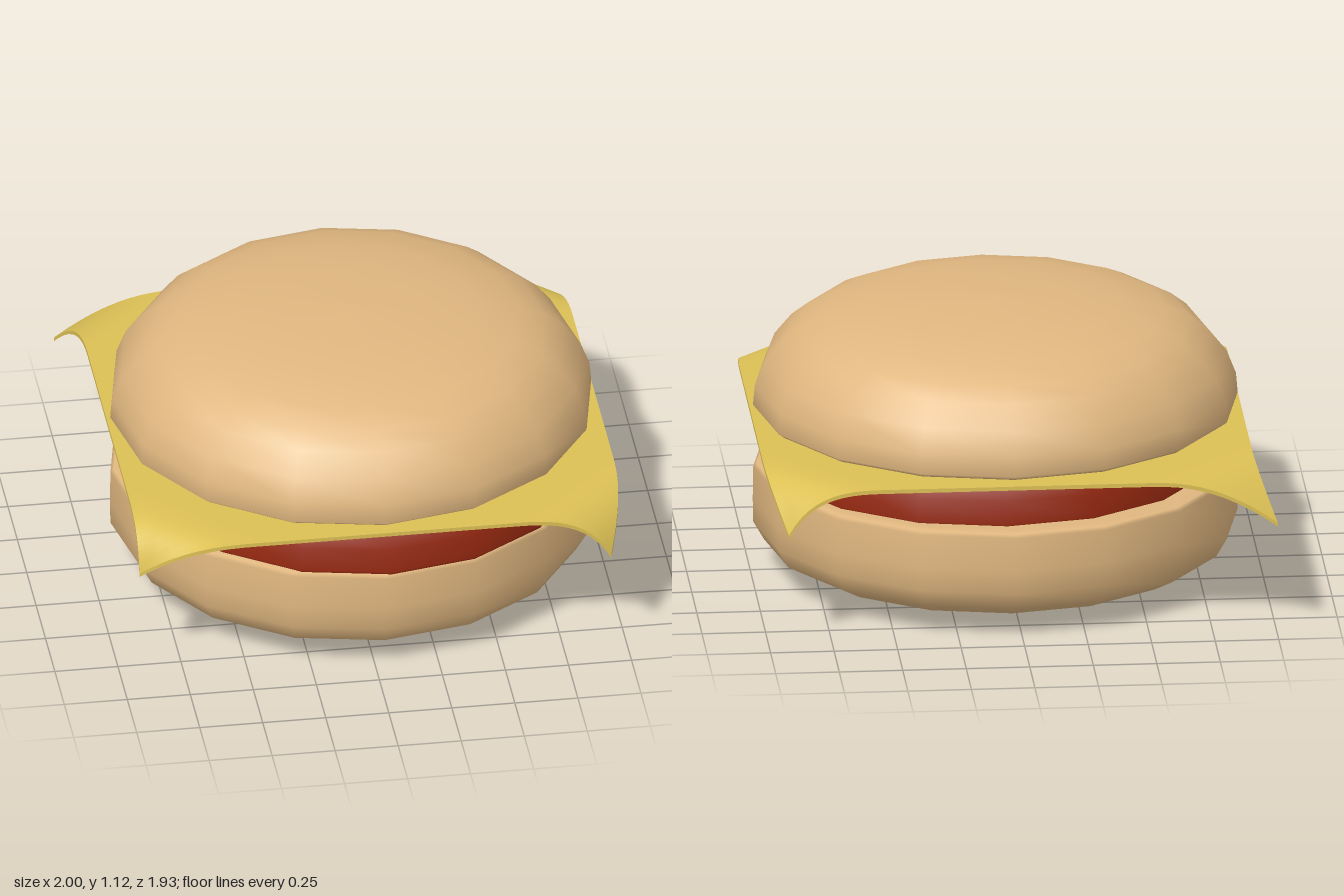
import * as THREE from 'three';

const SIDES = 16;

// Revolves a [radius, height] profile, listed from bottom to top
function turned(name, profile, material, x, z) {
  const points = profile.map(([r, y]) => new THREE.Vector2(r, y));
  const mesh = new THREE.Mesh(new THREE.LatheGeometry(points, SIDES), material);
  mesh.name = name;
  mesh.position.set(x, 0, z);
  return mesh;
}

// Thin square slice whose four corners droop over the patty
function cheeseGeometry() {
  const halfX = 0.962, halfZ = 0.965, centreX = 0.035, reach = 0.45;
  const geometry = new THREE.BoxGeometry(2 * halfX, 0.016, 2 * halfZ, 48, 1, 48);
  const pos = geometry.attributes.position;
  for (let i = 0; i < pos.count; i++) {
    const x = pos.getX(i), z = pos.getZ(i);
    const fromCorner = (halfX - Math.abs(x)) + (halfZ - Math.abs(z));
    const bend = Math.pow(Math.max(0, 1 - fromCorner / reach), 2.7);
    // The front right corner curls back, the others swing sideways
    const frontRight = x < 0 && z > 0;
    pos.setXYZ(
      i,
      x + centreX - (frontRight ? 0 : 0.072 * bend),
      pos.getY(i) + 0.648 - 0.178 * bend,
      z - (frontRight ? 0.13 * bend : 0)
    );
  }
  geometry.computeVertexNormals();
  return geometry;
}

export function createModel() {
  const bread = new THREE.MeshStandardMaterial({ color: 0xdfb67f });
  bread.name = 'bread';
  const meat = new THREE.MeshStandardMaterial({ color: 0x942810 });
  meat.name = 'meat';
  const cheese = new THREE.MeshStandardMaterial({ color: 0xdcc055 });
  cheese.name = 'cheese';

  const group = new THREE.Group();
  group.name = 'burger';

  // Bottom bun: shallow rounded base, upright wall, soft upper rim
  group.add(turned('bottomBun', [
    [0, 0.005], [0.37, 0.016], [0.64, 0.038], [0.82, 0.08], [0.91, 0.13],
    [0.953, 0.205], [0.955, 0.3], [0.953, 0.435], [0.94, 0.448], [0.9, 0.453], [0, 0.455],
  ], bread, 0.035, 0));

  // Patty, set slightly off centre
  group.add(turned('patty', [
    [0, 0.44], [0.89, 0.44], [0.9, 0.46], [0.885, 0.55], [0.86, 0.62], [0.84, 0.64], [0, 0.641],
  ], meat, 0.055, 0.044));

  // Cheese slice
  const slice = new THREE.Mesh(cheeseGeometry(), cheese);
  slice.name = 'cheeseSlice';
  group.add(slice);

  // Top bun: domed crown with a flat underside
  group.add(turned('topBun', [
    [0, 0.659], [0.82, 0.664], [0.93, 0.672], [0.954, 0.69], [0.947, 0.77], [0.91, 0.865],
    [0.84, 0.952], [0.77, 1.008], [0.67, 1.055], [0.5, 1.095], [0.28, 1.117], [0, 1.126],
  ], bread, 0.035, 0));

  return group;
}
